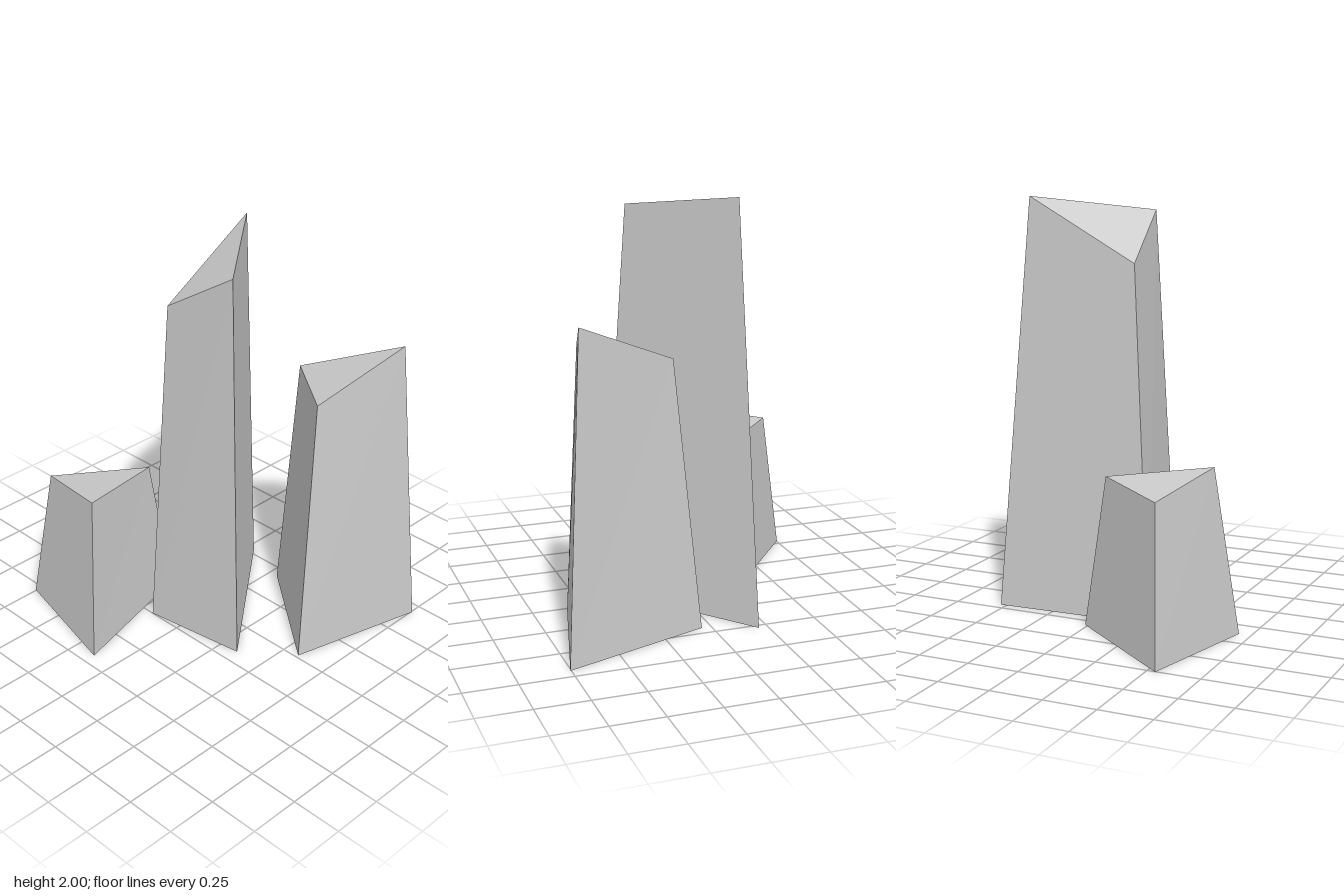
import * as THREE from 'three';

// Each crystal: three base corners [x, z] and three top corners [x, y, z],
// listed counter-clockwise as seen from above.
const crystals = [
  {
    name: 'shortCrystal',
    base: [[-0.54, -0.755], [-0.69, -0.125], [0.015, -0.31]],
    top: [[-0.485, 0.72, -0.64], [-0.59, 0.8, -0.207], [-0.105, 0.737, -0.335]],
  },
  {
    name: 'tallCrystal',
    base: [[-0.25, -0.175], [-0.175, 0.35], [0.53, -0.205]],
    top: [[-0.155, 1.7, -0.13], [-0.105, 1.93, 0.235], [0.38, 2, -0.145]],
  },
  {
    name: 'mediumCrystal',
    base: [[0.44, 0.047], [0.015, 0.582], [0.69, 0.755]],
    top: [[0.42, 1.3, 0.18], [0.13, 1.33, 0.545], [0.595, 1.51, 0.665]],
  },
];

// Tapered three-sided prism with a slanted cut on top
function prismGeometry(base, top) {
  const low = base.map(([x, z]) => [x, 0, z]);
  const points = [...top, low[2], low[1], low[0]];
  for (let i = 0; i < 3; i++) {
    const j = (i + 1) % 3;
    points.push(low[i], low[j], top[j], low[i], top[j], top[i]);
  }
  const geometry = new THREE.BufferGeometry();
  geometry.setAttribute('position', new THREE.Float32BufferAttribute(points.flat(), 3));
  geometry.computeVertexNormals();
  return geometry;
}

export function createModel() {
  const group = new THREE.Group();
  group.name = 'crystalCluster';
  const material = new THREE.MeshStandardMaterial({ color: 0xcccccc, flatShading: true });
  for (const { name, base, top } of crystals) {
    const mesh = new THREE.Mesh(prismGeometry(base, top), material);
    mesh.name = name;
    group.add(mesh);
  }
  return group;
}
